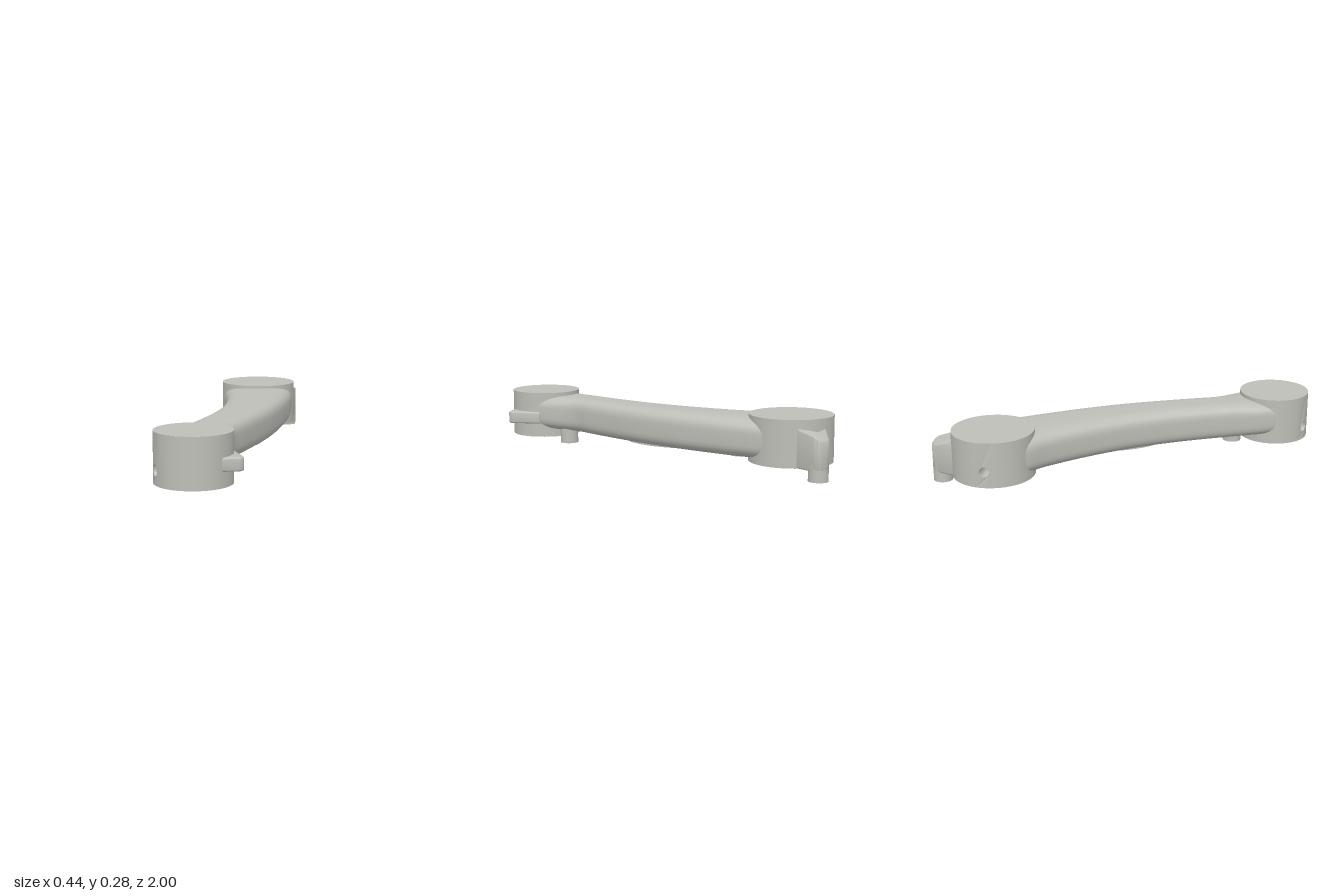
import * as THREE from 'three';
import { toCreasedNormals } from 'three/addons/utils/BufferGeometryUtils.js';

const grey = new THREE.MeshStandardMaterial({ color: 0xbebeb8 });
grey.name = 'cast grey';

function add(parent, name, geometry, x = 0, y = 0, z = 0) {
  const mesh = new THREE.Mesh(geometry, grey);
  mesh.name = name;
  mesh.position.set(x, y, z);
  parent.add(mesh);
  return mesh;
}

// Round boss with a small blind hole bored into its side
function boss(parent, name, { x, z, r, y0, y1, holeAngle, holeY }) {
  const group = new THREE.Group();
  group.name = name;
  group.position.set(x, 0, z);
  parent.add(group);
  const h = y1 - y0, half = 0.25, depth = 0.08, holeR = 0.026;
  add(group, 'bossWall', new THREE.CylinderGeometry(r, r, h, 72, 1, true,
    holeAngle + half, Math.PI * 2 - 2 * half), 0, (y0 + y1) / 2, 0);
  add(group, 'bossTop', new THREE.CircleGeometry(r, 72).rotateX(-Math.PI / 2), 0, y1, 0);
  add(group, 'bossBottom', new THREE.CircleGeometry(r, 72).rotateX(Math.PI / 2), 0, y0, 0);

  // Wall patch drawn flat with a hole, then bent round the boss
  const patch = new THREE.Shape();
  const n = 10, u = (i) => (-half + (2 * half * i) / n) * r;
  patch.moveTo(u(0), y0);
  for (let i = 1; i <= n; i++) patch.lineTo(u(i), y0);
  for (let i = n; i >= 0; i--) patch.lineTo(u(i), y1);
  const hole = new THREE.Path();
  hole.absarc(0, holeY, holeR, 0, Math.PI * 2, true);
  patch.holes.push(hole);
  const geo = new THREE.ExtrudeGeometry(patch, { depth, bevelEnabled: false, curveSegments: 24 });
  const p = geo.attributes.position;
  for (let i = 0; i < p.count; i++) {
    const a = holeAngle + p.getX(i) / r, rr = r - depth + p.getZ(i);
    p.setXYZ(i, rr * Math.sin(a), p.getY(i), rr * Math.cos(a));
  }
  add(group, 'holePatch', toCreasedNormals(geo, 0.6));
  const floorR = r - depth + 0.002;
  add(group, 'holeFloor', new THREE.CircleGeometry(holeR * 1.2, 24),
    floorR * Math.sin(holeAngle), holeY, floorR * Math.cos(holeAngle)).rotation.y = holeAngle;
}

// Arm lofted from rounded sections; each station is (left edge, right edge, z)
function armGeometry() {
  const stations = [
    [-0.195, 0.172, -0.75], [-0.19, 0.19, -0.62], [-0.155, 0.2, -0.5], [-0.128, 0.202, -0.38],
    [-0.1, 0.2, -0.2], [-0.085, 0.187, 0], [-0.09, 0.16, 0.2], [-0.113, 0.127, 0.4],
    [-0.131, 0.106, 0.51], [-0.143, 0.11, 0.57], [-0.165, 0.13, 0.66], [-0.183, 0.15, 0.77],
  ].map((s) => new THREE.Vector3(...s));
  const curve = new THREE.CatmullRomCurve3(stations);
  const rings = 70, sides = 56, pos = [], index = [];
  const power = (v) => Math.sign(v) * Math.abs(v) ** (2 / 3.6);
  for (let i = 0; i <= rings; i++) {
    const s = curve.getPoint(i / rings), t = (s.z + 0.75) / 1.52;
    const top = 0.264 - 0.014 * t, bottom = 0.064 + 0.006 * t;
    for (let j = 0; j < sides; j++) {
      const a = (j / sides) * Math.PI * 2;
      pos.push((s.x + s.y) / 2 + ((s.y - s.x) / 2) * power(Math.cos(a)),
        (top + bottom) / 2 + ((top - bottom) / 2) * power(Math.sin(a)), s.z);
      if (i < rings) {
        const k = (j + 1) % sides, b = i * sides, c = b + sides;
        index.push(b + j, b + k, c + j, b + k, c + k, c + j);
      }
    }
  }
  const geo = new THREE.BufferGeometry();
  geo.setAttribute('position', new THREE.Float32BufferAttribute(pos, 3));
  geo.setIndex(index);
  geo.computeVertexNormals();
  return geo;
}

// Upright slab from a plan outline in (x, z), rounded at its tip
function lugGeometry(draw, y0, y1, bevel) {
  const shape = new THREE.Shape();
  draw(shape);
  const geo = new THREE.ExtrudeGeometry(shape, {
    depth: y1 - y0 - 2 * bevel, bevelSize: bevel, bevelThickness: bevel,
    bevelOffset: -bevel, bevelSegments: 3, curveSegments: 12,
  });
  return geo.rotateX(-Math.PI / 2).translate(0, y0 + bevel, 0);
}

export function createModel() {
  const model = new THREE.Group();
  model.name = 'leverArm';

  add(model, 'arm', armGeometry());
  boss(model, 'frontBoss', { x: -0.017, z: 0.82, r: 0.179, y0: 0.033, y1: 0.27,
    holeAngle: Math.atan2(-0.83, 0.55), holeY: 0.1 });
  boss(model, 'backBoss', { x: -0.018, z: -0.73, r: 0.202, y0: 0.05, y1: 0.275,
    holeAngle: Math.atan2(-0.87, -0.49), holeY: 0.13 });

  // Side lug on the front boss (outline y is -z)
  const frontLug = lugGeometry((s) => {
    s.moveTo(0.06, -0.86);
    s.lineTo(0.12, -0.922);
    s.lineTo(0.2, -0.893);
    s.quadraticCurveTo(0.226, -0.882, 0.217, -0.856);
    s.lineTo(0.145, -0.725);
    s.lineTo(0.08, -0.74);
  }, 0.105, 0.168, 0.008);
  add(model, 'frontLug', toCreasedNormals(frontLug, 0.7));

  // Back lug, with its top sloping down to the tip
  const backLug = lugGeometry((s) => {
    s.moveTo(0, 0.82);
    s.lineTo(0.135, 0.82);
    s.lineTo(0.163, 0.95);
    s.absarc(0.116, 0.952, 0.047, 0, Math.PI * 0.72, false);
    s.lineTo(-0.01, 0.915);
  }, 0.05, 0.24, 0.008);
  const p = backLug.attributes.position;
  for (let i = 0; i < p.count; i++) {
    if (p.getY(i) > 0.15) p.setY(i, p.getY(i) - Math.max(0, -p.getZ(i) - 0.9) * 0.52);
  }
  add(model, 'backLug', toCreasedNormals(backLug, 0.7));

  // Pegs and small pad under the arm
  const peg = (name, x, z, r, y0, y1) =>
    add(model, name, new THREE.CylinderGeometry(r, r, y1 - y0, 40), x, (y0 + y1) / 2, z);
  peg('backPeg', 0.116, -0.952, 0.047, 0, 0.08);
  peg('frontPeg', 0.042, 0.605, 0.047, 0.005, 0.1);
  peg('smallPad', 0.04, -0.475, 0.042, 0.056, 0.1);

  // Shallow oval plate on the underside
  const oval = new THREE.CylinderGeometry(1, 1, 0.008, 48).scale(0.085, 1, 0.19);
  add(model, 'undersidePlate', oval, 0.05, 0.068, 0).rotation.y = -0.06;

  return model;
}
